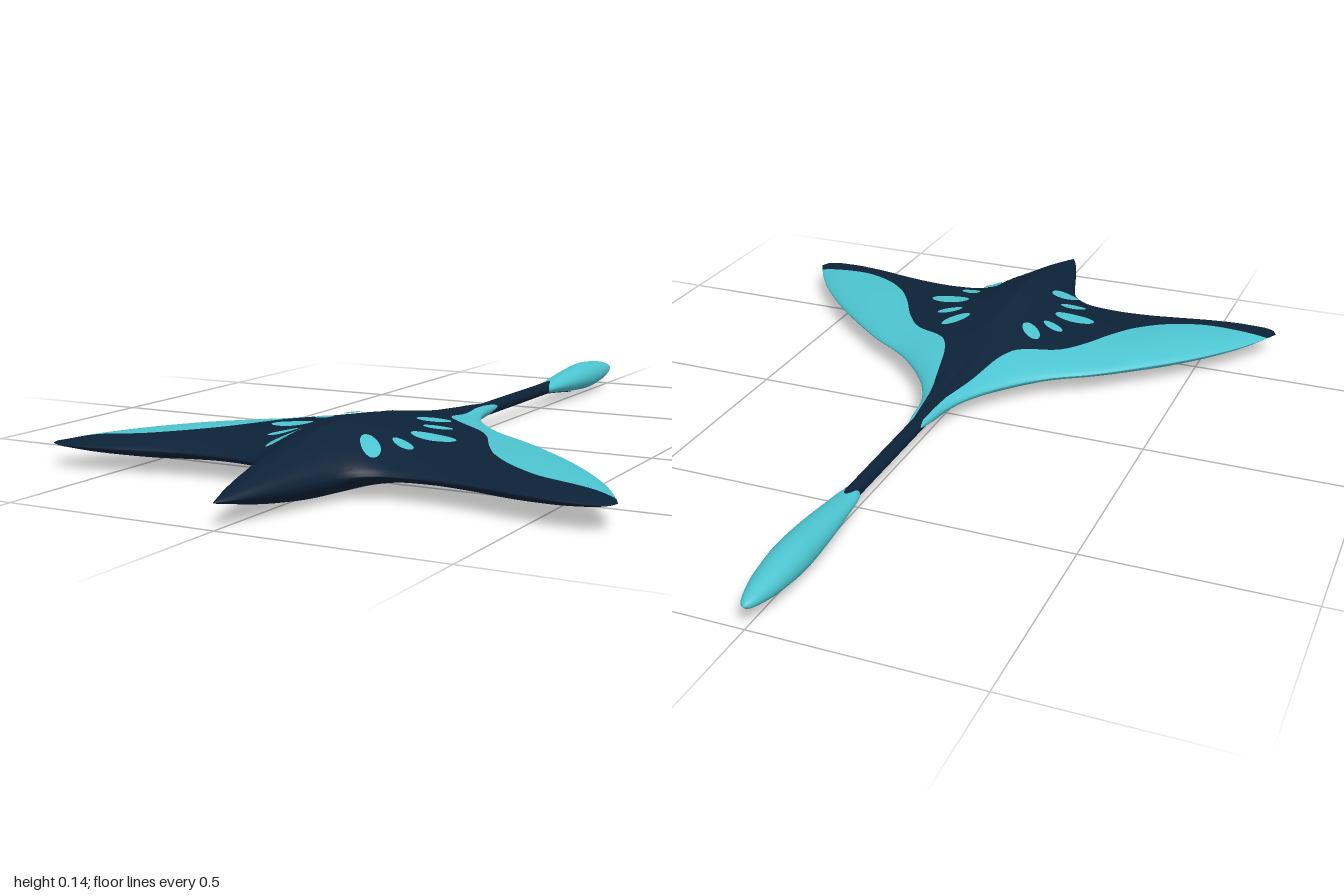
import * as THREE from 'three';

const MID = 0.058, HALF = 0.672;
const material = (name, color) => {
  const m = new THREE.MeshStandardMaterial({ color });
  m.name = name;
  return m;
};

// Smooth monotone curve through [x, y] points
function curve(p) {
  const n = p.length, d = [], m = [];
  for (let i = 0; i < n - 1; i++) d.push((p[i + 1][1] - p[i][1]) / (p[i + 1][0] - p[i][0]));
  for (let i = 0; i < n; i++) {
    if (i === 0) m.push(d[0]);
    else if (i === n - 1) m.push(d[n - 2]);
    else m.push(d[i - 1] * d[i] <= 0 ? 0 : 2 * d[i - 1] * d[i] / (d[i - 1] + d[i]));
  }
  return (x) => {
    if (x <= p[0][0]) return p[0][1];
    if (x >= p[n - 1][0]) return p[n - 1][1];
    let i = 0;
    while (x > p[i + 1][0]) i++;
    const w = p[i + 1][0] - p[i][0], t = (x - p[i][0]) / w, u = 1 - t;
    return p[i][1] * u * u * (1 + 2 * t) + p[i + 1][1] * t * t * (3 - 2 * t)
      + w * t * u * (m[i] * u - m[i + 1] * t);
  };
}

// Plan outline and colour boundaries, as z over |x|
const frontEdge = curve([[0, 1], [0.01, 0.98], [0.03, 0.93], [0.055, 0.85], [0.085, 0.75], [0.1, 0.71],
  [0.13, 0.675], [0.17, 0.657], [0.25, 0.65], [0.33, 0.656], [0.4, 0.668], [0.5, 0.69], [0.58, 0.7],
  [0.63, 0.7], [0.66, 0.69], [HALF, 0.665]]);
const backEdge = curve([[0, -0.21], [0.018, -0.19], [0.03, -0.1], [0.05, -0.03], [0.1, 0.06], [0.2, 0.17],
  [0.3, 0.24], [0.4, 0.325], [0.5, 0.42], [0.6, 0.54], [0.655, 0.63], [HALF, 0.665]]);
const wingPatch = curve([[0, -0.2], [0.012, -0.17], [0.02, -0.07], [0.05, 0.07], [0.07, 0.16], [0.1, 0.22],
  [0.2, 0.285], [0.25, 0.35], [0.29, 0.425], [0.34, 0.5], [0.42, 0.57], [0.5, 0.608], [0.655, 0.632], [HALF, 0.665]]);
const bellyFront = curve([[0, 0.83], [0.05, 0.72], [0.1, 0.62], [0.2, 0.565], [0.3, 0.47], [0.32, 0.44]]);

// Heights above and below the middle plane: along the spine (z) and across the wing (x)
const spine = [
  curve([[-0.2, 0.016], [0, 0.018], [0.1, 0.027], [0.2, 0.047], [0.3, 0.066], [0.4, 0.077], [0.55, 0.086],
    [0.65, 0.079], [0.72, 0.058], [0.8, 0.044], [0.9, 0.029], [1, 0.01]]),
  curve([[-0.2, 0.016], [0, 0.024], [0.2, 0.034], [0.4, 0.047], [0.55, 0.053], [0.7, 0.054],
    [0.8, 0.046], [0.9, 0.031], [1, 0.01]]),
];
const wing = [
  curve([[0, 0.054], [0.1, 0.047], [0.2, 0.041], [0.3, 0.034], [0.4, 0.031], [0.5, 0.024], [0.6, 0.013], [HALF, 0]]),
  curve([[0, 0.05], [0.1, 0.047], [0.2, 0.039], [0.3, 0.036], [0.4, 0.036], [0.5, 0.029], [0.6, 0.016], [HALF, 0]]),
];

function surfaceY(x, z, under) {
  const ax = Math.abs(x), zb = backEdge(ax), zf = frontEdge(ax);
  const t = zf - zb < 1e-6 ? 0 : THREE.MathUtils.clamp((z - zb) / (zf - zb), 0, 1);
  const w = Math.max(0, 1 - ax / 0.2) ** 2;
  const edgeWing = Math.pow(4 * t * (1 - t), 0.6);
  const edgeSpine = Math.sqrt(Math.max(0, 1 - Math.abs(2 * t - 1) ** 5));
  const h = w * spine[under](z) * edgeSpine + (1 - w) * wing[under](ax) * edgeWing;
  return MID + (under ? -h : h);
}

// Body and wings: a ring over the top and back under the belly at each x, in colour bands
function bodyGeometry(cols = 140, n = 14) {
  const pos = [], rows = 5 * n + 1, geo = new THREE.BufferGeometry(), index = [];
  for (let i = 0; i <= cols; i++) {
    const u = (2 * i) / cols - 1, a = Math.abs(u);
    const x = Math.sign(u) * HALF * (a < 1 ? a ** 1.5 * (1 - a) + (1 - (1 - a) ** 1.4) * a : 1);
    const ax = Math.abs(x), zb = backEdge(ax), zf = frontEdge(ax);
    const cut = THREE.MathUtils.clamp(wingPatch(ax), zb, zf);
    const grey = ax > 0.32 ? cut : THREE.MathUtils.clamp(bellyFront(ax), cut, zf);
    const stops = [zb, cut, zf, grey, cut, zb];
    for (let j = 0; j < rows; j++) {
      const band = Math.min(4, Math.floor(j / n)), v = j / n - band;
      // rows gather towards the rounded edges
      const e = band === 0 || band === 2 ? v ** 1.7 : band === 3 ? v : 1 - (1 - v) ** 1.7;
      const z = THREE.MathUtils.lerp(stops[band], stops[band + 1], e);
      pos.push(x, surfaceY(x, z, band > 1 ? 1 : 0), z);
    }
  }
  for (let band = 0; band < 5; band++) {
    const start = index.length;
    for (let i = 0; i < cols; i++) for (let j = band * n; j < (band + 1) * n; j++) {
      const a = i * rows + j, b = a + rows;
      index.push(a, a + 1, b, b, a + 1, b + 1);
    }
    geo.addGroup(start, index.length - start, [0, 1, 1, 2, 0][band]);
  }
  geo.setAttribute('position', new THREE.Float32BufferAttribute(pos, 3));
  geo.setIndex(index);
  geo.computeVertexNormals();
  return geo;
}

// Spot laid over the back, its long axis pointing out from the middle of the body
function spotGeometry(cx, cz, long, wide, side) {
  const geo = new THREE.RingGeometry(0.001, 1, 28, 4), p = geo.attributes.position;
  const a = Math.atan2(cz - 0.46, cx), c = Math.cos(a), s = Math.sin(a);
  for (let i = 0; i < p.count; i++) {
    const u = p.getX(i) * long, v = -side * p.getY(i) * wide;
    const x = side * (cx + c * u - s * v), z = cz + s * u + c * v;
    p.setXYZ(i, x, surfaceY(x, z, 0) + 0.005, z);
  }
  geo.computeVertexNormals();
  return geo;
}

// Tail fin half width and half height along z
const finWidth = curve([[-1, 0], [-0.99, 0.011], [-0.96, 0.022], [-0.9, 0.034], [-0.8, 0.041], [-0.7, 0.038],
  [-0.6, 0.03], [-0.54, 0.024], [-0.52, 0.015]]);
const finHeight = curve([[-1, 0], [-0.99, 0.009], [-0.96, 0.018], [-0.9, 0.029], [-0.8, 0.037], [-0.7, 0.031],
  [-0.6, 0.02], [-0.52, 0.012]]);
const TAIL_Y = 0.055;

function finGeometry() {
  const geo = new THREE.CylinderGeometry(1, 1, 1, 32, 48), p = geo.attributes.position;
  geo.rotateX(Math.PI / 2);
  for (let i = 0; i < p.count; i++) {
    const f = p.getZ(i) + 0.5, z = -1 + 0.48 * f ** 1.4;
    p.setXYZ(i, p.getX(i) * finWidth(z), TAIL_Y + p.getY(i) * finHeight(z), z);
  }
  geo.computeVertexNormals();
  return geo;
}

// Narrowing stripe laid on the fin
function stripeGeometry(side) {
  const geo = new THREE.PlaneGeometry(2, 1, 10, 20), p = geo.attributes.position;
  for (let i = 0; i < p.count; i++) {
    const f = 0.5 - p.getY(i), z = -0.52 - 0.2 * f;
    const x = p.getX(i) * 0.017 * Math.sqrt(1 - f);
    const y = finHeight(z) * Math.sqrt(Math.max(0, 1 - (x / finWidth(z)) ** 2)) + 0.002;
    p.setXYZ(i, x, TAIL_Y + side * y, z);
  }
  geo.computeVertexNormals();
  return geo;
}

export function createModel() {
  const model = new THREE.Group();
  model.name = 'rayGlider';
  const navy = material('navy', 0x0d2238);
  const cyan = material('cyan', 0x4cc4d0);
  const grey = material('bellyGrey', 0x8c8e8b);
  const stripeNavy = navy;
  const add = (name, geo, mat) => {
    const mesh = new THREE.Mesh(geo, mat);
    mesh.name = name;
    model.add(mesh);
    return mesh;
  };

  add('bodyAndWings', bodyGeometry(), [cyan, navy, grey]);

  // Back spots, mirrored
  const spots = [[0.105, 0.32, 0.042, 0.02], [0.145, 0.378, 0.033, 0.015], [0.177, 0.46, 0.053, 0.026],
    [0.148, 0.54, 0.034, 0.015], [0.105, 0.6, 0.042, 0.021]];
  for (const side of [1, -1]) for (const s of spots) add(side > 0 ? 'leftSpot' : 'rightSpot', spotGeometry(...s, side), cyan);

  // Tail rod and fin
  const rod = add('tail', new THREE.CylinderGeometry(0.017, 0.016, 0.55, 24).rotateX(Math.PI / 2), navy);
  rod.position.set(0, TAIL_Y, -0.295);
  add('tailFin', finGeometry(), cyan);
  for (const side of [1, -1]) {
    const geo = stripeGeometry(side);
    if (side < 0) {
      geo.index.array.reverse();
      geo.computeVertexNormals();
    }
    add(side > 0 ? 'upperFinStripe' : 'lowerFinStripe', geo, stripeNavy);
  }
  return model;
}
